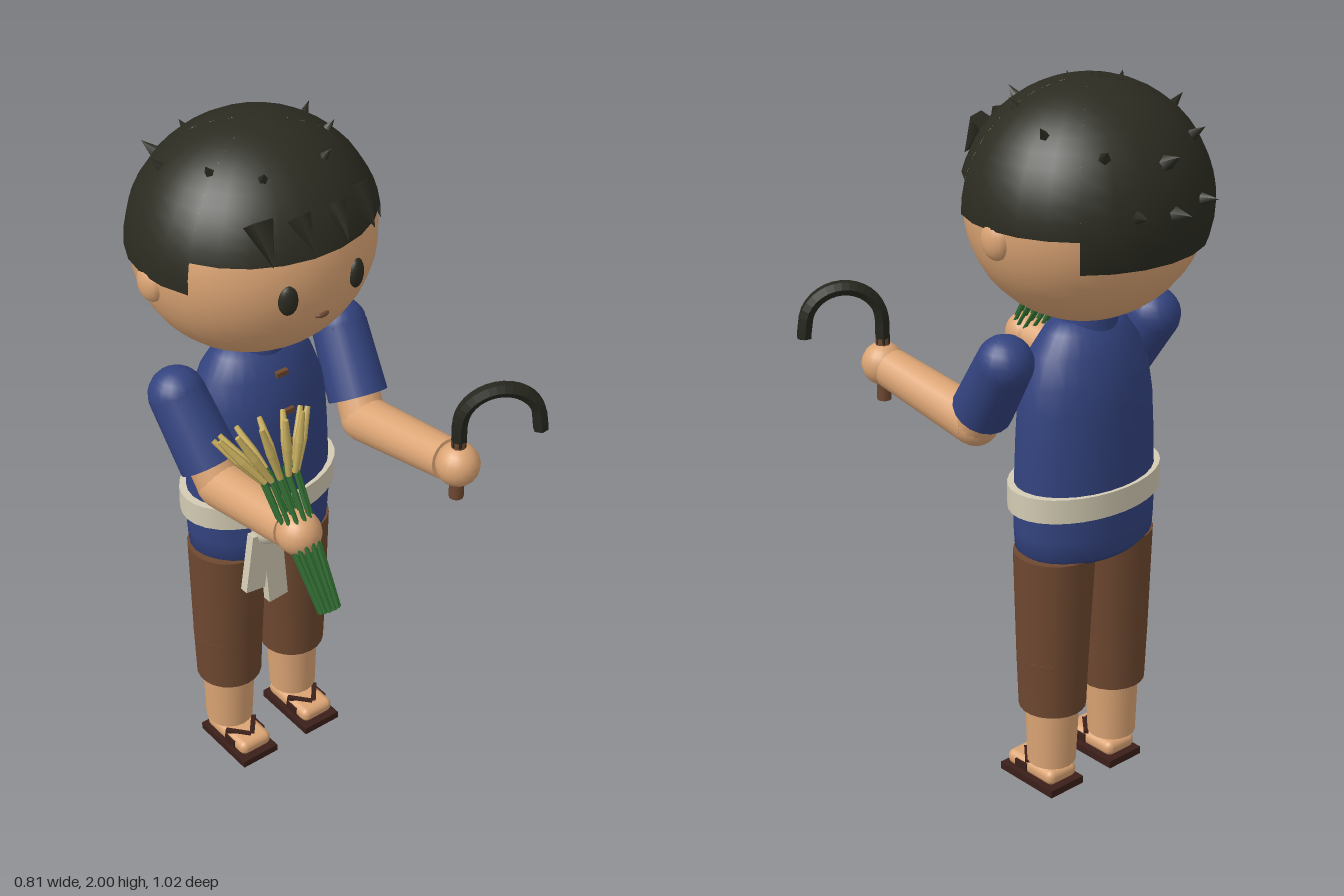
import * as THREE from 'three';
import { RoundedBoxGeometry } from 'three/addons/geometries/RoundedBoxGeometry.js';

const mat = (name, color, side = THREE.FrontSide, flatShading = false) =>
  Object.assign(new THREE.MeshStandardMaterial({ color, side, flatShading }), { name });
const V = (x, y, z) => new THREE.Vector3(x, y, z);
const UP = V(0, 1, 0);

export function createModel() {
  const skin = mat('skin', 0xdba474);
  const hair = mat('hair', 0x2b2b21, THREE.DoubleSide);
  const shirt = mat('shirt blue', 0x33437f);
  const pants = mat('trouser brown', 0x6e4830);
  const cream = mat('sash cream', 0xd3cbb3);
  const sandal = mat('sandal dark brown', 0x3b1f1a);
  const green = mat('stem green', 0x2f6a30);
  const grain = mat('grain gold', 0xc4ab5c);
  const iron = mat('blade iron', 0x26261e, THREE.DoubleSide, true);

  const model = new THREE.Group();
  const body = new THREE.Group();
  body.name = 'body';
  body.position.set(-0.055, 0, -0.148);
  model.add(body);

  const add = (parent, name, geo, material, x = 0, y = 0, z = 0) => {
    const m = new THREE.Mesh(geo, material);
    m.name = name;
    m.position.set(x, y, z);
    parent.add(m);
    return m;
  };
  const ball = (parent, name, material, p, r, seg = 24) => {
    const m = add(parent, name, new THREE.SphereGeometry(1, seg, Math.ceil(seg * 0.7)), material, ...p);
    m.scale.set(...r);
    return m;
  };
  // Tapered cylinder from point a to point b
  const limb = (parent, name, material, a, b, ra, rb, seg = 18) => {
    const d = b.clone().sub(a);
    const m = add(parent, name, new THREE.CylinderGeometry(rb, ra, d.length(), seg), material);
    m.position.copy(a).addScaledVector(d, 0.5);
    m.quaternion.setFromUnitVectors(UP, d.normalize());
    return m;
  };

  // Head and face
  const HY = 1.68;
  ball(body, 'head', skin, [0, HY, 0], [0.325, 0.306, 0.3], 32);
  for (const s of [-1, 1]) {
    ball(body, 'ear', skin, [s * 0.313, 1.645, -0.005], [0.03, 0.052, 0.045], 14);
    const eye = ball(body, 'eye', hair, [s * 0.106, 1.655, 0.282], [0.026, 0.041, 0.016], 16);
    eye.rotation.y = s * 0.35;
  }
  ball(body, 'mouth', pants, [0, 1.575, 0.281], [0.021, 0.008, 0.01], 12);

  // Hair cap: short fringe, longer sides, longest at the back
  const deg = Math.PI / 180;
  for (const [name, from, sweep, down] of [
    ['hairFront', 26, 128, 75.5], ['hairSide', 154, 71, 91],
    ['hairSide', -45, 71, 91], ['hairBack', 225, 90, 107],
  ]) {
    const cap = add(body, name, new THREE.SphereGeometry(1, Math.round(sweep / 14), 12,
      from * deg, sweep * deg, 0, down * deg), hair, 0, HY, 0);
    cap.scale.set(0.335, 0.32, 0.315);
  }
  // Tufts standing out of the hair: x, z, radius, height
  const tuft = (x, z, r, h) => {
    const y = 0.32 * Math.sqrt(Math.max(0, 1 - (x / 0.335) ** 2 - (z / 0.315) ** 2));
    const n = V(x / 0.112, y / 0.102, z / 0.099).normalize();
    const p = V(x, HY + y, z);
    limb(body, 'hairTuft', hair, p.clone().addScaledVector(n, -0.012),
      p.clone().addScaledVector(n, h), r, 0, 5);
  };
  for (const s of [-1, 1]) {
    tuft(s * 0.093, 0.168, 0.017, 0.03);
    tuft(s * 0.18, 0.07, 0.017, 0.03);
    tuft(s * 0.222, -0.08, 0.017, 0.035);
    tuft(s * 0.15, -0.215, 0.02, 0.04);
    tuft(s * 0.11, -0.294, 0.02, 0.045);
    // Fringe points hanging over the forehead
    limb(body, 'fringePoint', hair, V(s * 0.145, 1.86, 0.222), V(s * 0.155, 1.77, 0.292), 0.042, 0, 5);
    limb(body, 'fringePoint', hair, V(s * 0.055, 1.86, 0.257), V(s * 0.05, 1.785, 0.32), 0.032, 0, 5);
  }
  tuft(0, -0.275, 0.025, 0.05);
  tuft(0, -0.313, 0.025, 0.052);

  // Shirt with collar, buttons
  const profile = [[0, 0.72], [0.185, 0.722], [0.213, 0.745], [0.217, 0.8], [0.216, 0.92], [0.211, 1.05],
    [0.205, 1.15], [0.193, 1.22], [0.165, 1.295], [0.125, 1.35], [0.09, 1.375], [0, 1.38]];
  const torso = add(body, 'shirt', new THREE.LatheGeometry(
    profile.map(([r, y]) => new THREE.Vector2(r, y)), 28), shirt);
  torso.scale.z = 0.69;
  add(body, 'collar', new THREE.CylinderGeometry(0.082, 0.086, 0.06, 24), shirt, 0, 1.37, 0);
  add(body, 'neck', new THREE.CylinderGeometry(0.07, 0.07, 0.1, 18), skin, 0, 1.38, 0);
  for (const [y, z] of [[1.305, 0.112], [1.2, 0.138], [1.105, 0.145], [1, 0.149]])
    add(body, 'button', new THREE.BoxGeometry(0.036, 0.014, 0.014), pants, 0, y, z);

  // Sash with knot and tails
  const sash = add(body, 'sash', new THREE.CylinderGeometry(0.237, 0.237, 0.068, 32), cream, 0, 0.898, 0);
  sash.scale.z = 0.67;
  ball(body, 'sashKnot', cream, [-0.115, 0.9, 0.198], [0.045, 0.043, 0.042], 18);
  for (const [x, y, len, tilt] of [[-0.155, 0.81, 0.18, -0.14], [-0.1, 0.773, 0.235, 0.08]]) {
    const tail = add(body, 'sashTail', new THREE.BoxGeometry(0.062, len, 0.025), cream, x, y, 0.2);
    tail.rotation.z = tilt;
  }

  // Trousers, shins and sandals
  ball(body, 'hips', pants, [0, 0.765, 0], [0.208, 0.082, 0.145]);
  for (const s of [-1, 1]) {
    const x = s * 0.113;
    limb(body, 'thigh', pants, V(x, 0.42, 0), V(s * 0.108, 0.73, 0), 0.099, 0.111, 22);
    ball(body, 'knee', pants, [x, 0.42, 0], [0.099, 0.06, 0.099]);
    limb(body, 'trouserLeg', pants, V(x, 0.262, 0), V(x, 0.42, 0), 0.093, 0.099, 22);
    limb(body, 'shin', skin, V(x + s * 0.003, 0.085, 0), V(x, 0.32, 0), 0.068, 0.077);
    limb(body, 'ankle', skin, V(x, 0.05, 0), V(x, 0.09, 0), 0.04, 0.04);
    add(body, 'foot', new RoundedBoxGeometry(0.105, 0.045, 0.185, 3, 0.02), skin, x, 0.047, 0.042);
    add(body, 'sandalSole', new THREE.BoxGeometry(0.12, 0.022, 0.21), sandal, x, 0.013, 0.043);
    for (const t of [-1, 1]) {
      const strap = add(body, 'sandalStrap', new THREE.BoxGeometry(0.014, 0.01, 0.075), sandal,
        x + t * 0.026, 0.069, 0.075);
      strap.rotation.y = -t * 0.7;
      add(body, 'strapSide', new THREE.BoxGeometry(0.008, 0.024, 0.045), sandal, x + t * 0.052, 0.047, 0.07);
    }
  }

  // Arms bent forward at the elbow
  const rightHand = V(-0.284, 1.125, 0.335), leftHand = V(0.195, 1.145, 0.383);
  for (const [s, hand] of [[-1, rightHand], [1, leftHand]]) {
    const shoulder = V(-0.055 + s * 0.265, 1.3, -0.13);
    const elbow = V(-0.055 + s * 0.238, 1.085, 0.015);
    const cuff = shoulder.clone().lerp(elbow, 0.76);
    ball(model, 'shoulder', shirt, shoulder.toArray(), [0.076, 0.076, 0.076], 18);
    limb(model, 'sleeve', shirt, shoulder, cuff, 0.076, 0.082);
    limb(model, 'upperArm', skin, shoulder, elbow, 0.055, 0.062);
    ball(model, 'elbow', skin, elbow.toArray(), [0.063, 0.063, 0.063], 18);
    limb(model, 'forearm', skin, elbow, hand.clone().lerp(elbow, 0.1), 0.064, 0.056);
    ball(model, 'hand', skin, hand.toArray(), [0.059, 0.06, 0.06], 18);
  }

  // Sickle in the left hand
  const sickle = new THREE.Group();
  sickle.name = 'sickle';
  sickle.position.copy(leftHand);
  sickle.rotation.y = -30 * deg;
  model.add(sickle);
  limb(sickle, 'sickleHandle', pants, V(0, -0.105, 0), V(0, 0.075, 0), 0.02, 0.02, 10);
  const arc = [V(0, 0.06, 0), V(0, 0.1, 0)];
  for (let i = 0; i <= 8; i++) {
    const a = Math.PI * (1 - i / 8);
    arc.push(V(0.104 + 0.104 * Math.cos(a), 0.125 + 0.1 * Math.sin(a), 0));
  }
  arc.push(V(0.212, 0.092, 0));
  add(sickle, 'sickleBlade', new THREE.TubeGeometry(new THREE.CatmullRomCurve3(arc), 22, 0.021, 6), iron);
  limb(sickle, 'bladeTip', iron, V(0.212, 0.094, 0), V(0.212, 0.09, 0), 0.021, 0.016, 6);

  // Sheaf of grain in the right hand, leaning back
  const sheaf = new THREE.Group();
  sheaf.name = 'sheaf';
  sheaf.position.set(-0.284, 0.955, 0.46);
  sheaf.rotation.x = -Math.atan2(0.56, 0.83);
  model.add(sheaf);
  for (let i = 0; i < 12; i++) {
    const a = (i / 12) * Math.PI * 2, c = Math.cos(a), n = Math.sin(a);
    const ring = (r, y) => V(c * r, y, n * r);
    limb(sheaf, 'stem', green, ring(0.025, 0), ring(0.048, 0.385), 0.006, 0.006, 6);
    limb(sheaf, 'grainEar', grain, ring(0.045, 0.36), ring(0.085, 0.43), 0.008, 0.012, 6);
    limb(sheaf, 'grainEar', grain, ring(0.085, 0.43), ring(0.124, 0.5), 0.012, 0.007, 6);
  }
  for (let i = 0; i < 4; i++) {
    const a = (i + 0.5) * Math.PI / 2;
    limb(sheaf, 'innerStem', green, V(Math.cos(a) * 0.012, 0, Math.sin(a) * 0.012),
      V(Math.cos(a) * 0.02, 0.38, Math.sin(a) * 0.02), 0.006, 0.006, 6);
  }
  return model;
}
